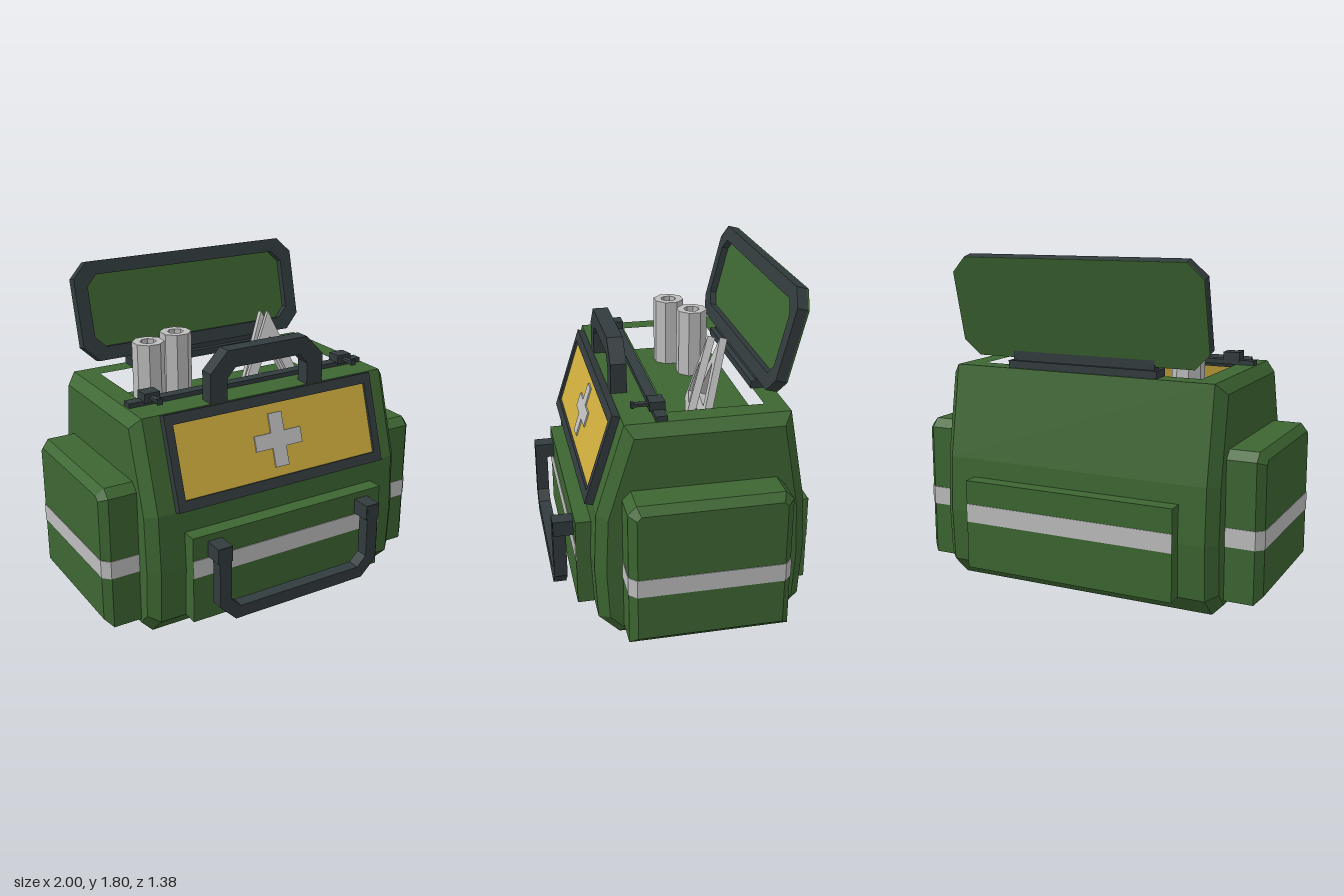
import * as THREE from 'three';

const mat = (name, color) => Object.assign(new THREE.MeshStandardMaterial({ color, flatShading: true }), { name });

const shapeOf = (pts) => new THREE.Shape(pts.map(([x, y]) => new THREE.Vector2(x, y)));

// Rectangle with cut corners
function cutRect(x0, y0, x1, y1, c) {
  return [[x0 + c, y0], [x1 - c, y0], [x1, y0 + c], [x1, y1 - c],
    [x1 - c, y1], [x0 + c, y1], [x0, y1 - c], [x0, y0 + c]];
}

// Slab along z, with an optional hole and chamfer that stays within the outline
function slab(pts, depth, hole, chamfer = 0) {
  const shape = shapeOf(pts);
  if (hole) shape.holes.push(shapeOf(hole));
  return new THREE.ExtrudeGeometry(shape, {
    depth: depth - 2 * chamfer, bevelEnabled: chamfer > 0, bevelSegments: 1,
    bevelThickness: chamfer, bevelSize: chamfer, bevelOffset: -chamfer,
  }).translate(0, 0, chamfer - depth / 2);
}

// Slab along x from points given as [z, y]
const slabX = (pts, width, chamfer) =>
  slab(pts.map(([z, y]) => [-z, y]), width, null, chamfer).rotateY(Math.PI / 2);

// Slab along y from points given as [x, z]
const slabY = (pts, height, hole) => {
  const flip = (list) => list && list.map(([x, z]) => [x, -z]);
  return slab(flip(pts), height, flip(hole)).rotateX(-Math.PI / 2);
};

const rect = (x0, y0, x1, y1) => [[x0, y0], [x1, y0], [x1, y1], [x0, y1]];

// Leaves out the faces lying at or above a height
function openTop(geometry, height) {
  const p = geometry.attributes.position, kept = [];
  for (let i = 0; i < p.count; i += 3) {
    if (Math.min(p.getY(i), p.getY(i + 1), p.getY(i + 2)) > height) continue;
    for (let k = i; k < i + 3; k++) kept.push(p.getX(k), p.getY(k), p.getZ(k));
  }
  const out = new THREE.BufferGeometry();
  out.setAttribute('position', new THREE.Float32BufferAttribute(kept, 3));
  out.computeVertexNormals();
  return out;
}

export function createModel() {
  const model = new THREE.Group();
  model.name = 'medicalBag';
  const green = mat('greenFabric', 0x3d6632);
  const dark = mat('darkTrim', 0x323b3d);
  const grey = mat('lightGrey', 0xbebebe);
  const yellow = mat('yellowPanel', 0xcfae3d);

  const add = (name, geometry, material, x = 0, y = 0, z = 0, parent = model) => {
    const m = new THREE.Mesh(geometry, material);
    m.name = name;
    m.position.set(x, y, z);
    parent.add(m);
    return m;
  };
  // Box given by its limits
  const box = (name, material, x0, x1, y0, y1, z0, z1, parent) =>
    add(name, new THREE.BoxGeometry(x1 - x0, y1 - y0, z1 - z0), material,
      (x0 + x1) / 2, (y0 + y1) / 2, (z0 + z1) / 2, parent);
  const group = (name, x, y, z, rx = 0, ry = 0) => {
    const g = new THREE.Group();
    g.name = name;
    g.position.set(x, y, z);
    g.rotation.set(rx, ry, 0, 'YXZ');
    model.add(g);
    return g;
  };

  // Main body with an open compartment
  const profile = [[0.38, 0], [0.49, 0.11], [0.505, 0.4], [0.49, 0.72], [0.34, 1.2],
    [-0.51, 1.2], [-0.6, 0.7], [-0.615, 0.4], [-0.6, 0.11], [-0.49, 0]];
  add('body', openTop(slabX(profile, 1.6, 0.055), 1.19), green);
  add('compartmentRim', slabY(rect(-0.745, -0.51, 0.745, 0.34), 0.15,
    rect(-0.635, -0.4, 0.635, 0.1)), green, 0, 1.125);
  box('compartmentFloor', green, -0.66, 0.66, 1.03, 1.05, -0.42, 0.12);

  // Side pockets with wrapped stripes
  const pocket = [[0.365, 0.08], [0.365, 0.82], [0.32, 0.865], [-0.43, 0.865], [-0.475, 0.82], [-0.475, 0.08]];
  for (const s of [-1, 1]) {
    add('sidePocket', slabX(pocket, 0.297, 0.04), green, s * 0.8485);
    const band = [[0.75, 0.368], [0.96, 0.368], [1, 0.328], [1, -0.438], [0.96, -0.478], [0.75, -0.478]];
    add('sideStripe', slabY(band.map(([x, z]) => [s * x, z]), 0.1), grey, 0, 0.42);
  }

  // Front and back pockets with stripes
  box('frontPocket', green, -0.6, 0.6, 0.11, 0.6, 0.4, 0.58);
  box('frontStripe', grey, -0.6, 0.6, 0.37, 0.47, 0.58, 0.584);
  box('backPocket', green, -0.6, 0.6, 0.11, 0.6, -0.687, -0.5);
  box('backStripe', grey, -0.6, 0.6, 0.37, 0.47, -0.69, -0.686);

  // Slanted front panel with a cross
  const panel = group('frontPanel', 0, 0.965, 0.435, -0.31);
  add('panelFrame', slab(rect(-0.645, -0.25, 0.645, 0.25), 0.045,
    rect(-0.6, -0.195, 0.6, 0.195)), dark, 0, 0, 0, panel);
  box('panelFace', yellow, -0.605, 0.605, -0.2, 0.2, 0, 0.008, panel);
  const a = 0.042, b = 0.145;
  add('cross', slab([[-a, -b], [a, -b], [a, -a], [b, -a], [b, a], [a, a],
    [a, b], [-a, b], [-a, a], [-b, a], [-b, -a], [-a, -a]], 0.008), grey, 0, 0, 0.012, panel);

  // Front handle hanging from two mounts
  add('frontHandle', slab([[-0.505, 0.56], [-0.505, 0.225], [-0.41, 0.13], [0.41, 0.13], [0.505, 0.225],
    [0.505, 0.56], [0.435, 0.56], [0.435, 0.255], [0.38, 0.2], [-0.38, 0.2], [-0.435, 0.255],
    [-0.435, 0.56]], 0.07), dark, 0, 0, 0.655);
  for (const s of [-1, 1]) {
    add('frontHandleMount', new THREE.BoxGeometry(0.085, 0.085, 0.11), dark, s * 0.47, 0.52, 0.633);
  }

  // Carrying handle
  add('topHandle', slab([[-0.35, 1.19], [-0.35, 1.36], [-0.245, 1.47], [0.245, 1.47], [0.35, 1.36],
    [0.35, 1.19], [0.25, 1.19], [0.25, 1.32], [0.2, 1.375], [-0.2, 1.375], [-0.25, 1.32],
    [-0.25, 1.19]], 0.085), dark, 0, 0, 0.297);

  // Latch strip with clasps
  box('latchStrip', dark, -0.735, 0.735, 1.2, 1.225, 0.12, 0.18);
  for (const s of [-1, 1]) {
    add('clasp', new THREE.BoxGeometry(0.09, 0.05, 0.08), dark, s * 0.61, 1.242, 0.155);
    add('claspPin', new THREE.BoxGeometry(0.03, 0.016, 0.1), dark, s * 0.61, 1.243, 0.23);
    add('claspTip', new THREE.BoxGeometry(0.03, 0.03, 0.015), dark, s * 0.61, 1.243, 0.275);
  }

  // Hinge and raised lid
  box('hingeBase', dark, -0.43, 0.43, 1.2, 1.24, -0.5, -0.39);
  box('hingeStrap', dark, -0.41, 0.41, 1.23, 1.3, -0.48, -0.42);
  const lid = group('lid', 0, 1.262, -0.44, -0.245);
  add('lidFrame', slab(cutRect(-0.71, 0, 0.71, 0.55, 0.085), 0.056,
    cutRect(-0.635, 0.075, 0.635, 0.475, 0.06)), dark, 0, 0, 0.004, lid);
  add('lidBack', slab(cutRect(-0.71, 0, 0.71, 0.55, 0.085), 0.008), green, 0, 0, -0.028, lid);
  add('lidLining', slab(cutRect(-0.64, 0.07, 0.64, 0.48, 0.06), 0.008), green, 0, 0, -0.01, lid);

  // Bandage rolls
  const ring = [[0.045, 0.33], [0.045, 0.38], [0.088, 0.38], [0.088, 0]];
  for (const [x, z] of [[-0.46, -0.14], [-0.245, -0.23]]) {
    const roll = group('roll', x, 1.05, z, 0, Math.PI / 8);
    const wrap = ring.map(([r, y]) => new THREE.Vector2(r, y)).reverse();
    add('rollWrap', new THREE.LatheGeometry(wrap, 8), grey, 0, 0, 0, roll);
    add('rollCore', new THREE.CylinderGeometry(0.046, 0.046, 0.35, 8), dark, 0, 0.175, 0, roll);
  }

  // Leaning triangles
  const tri = (w, y0, y1) => [[-w, y0], [w, y0], [0, y1]];
  for (const [x, y, z, yaw] of [[0.31, 1.055, -0.085, -0.24], [0.32, 1.04, -0.15, -0.1]]) {
    const t = group('triangle', x, y, z, -0.27, yaw);
    add('triangleFrame', slab(tri(0.18, 0, 0.43), 0.04, tri(0.09, 0.07, 0.285)), grey, 0, 0, 0, t);
  }
  return model;
}
